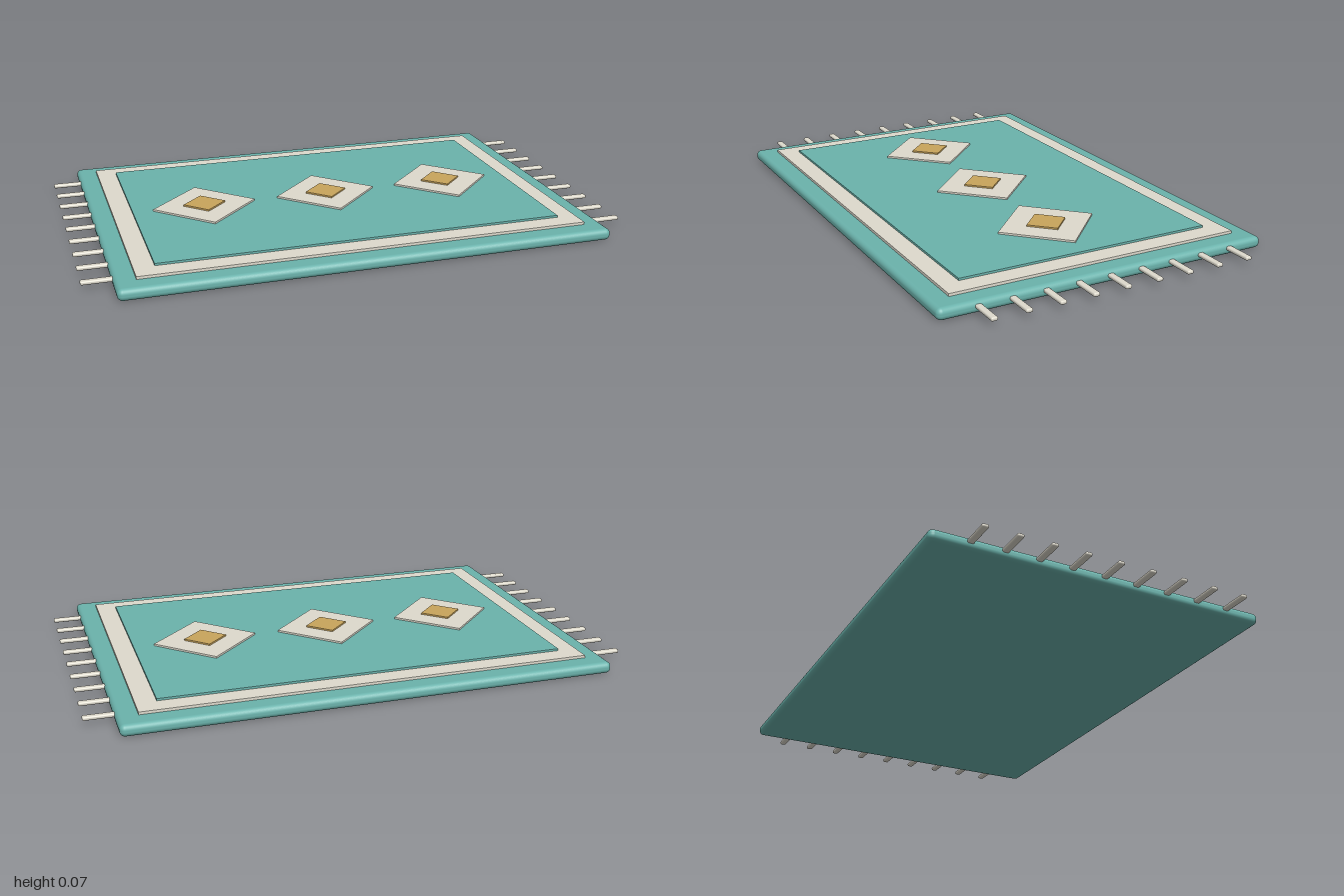
import * as THREE from 'three';
import { RoundedBoxGeometry } from 'three/addons/geometries/RoundedBoxGeometry.js';

const paint = (color) => new THREE.MeshStandardMaterial({ color });

export function createModel() {
  const rug = new THREE.Group();
  rug.name = 'rug';
  const teal = paint(0x6bb3ac);
  const cream = paint(0xdedacd);
  const gold = paint(0xc9a55c);

  const add = (name, geometry, material, x, y, z) => {
    const mesh = new THREE.Mesh(geometry, material);
    mesh.name = name;
    mesh.position.set(x, y, z);
    rug.add(mesh);
    return mesh;
  };
  // Flat layer given by its bottom and top heights
  const layer = (name, w, d, bottom, top, material, x = 0) =>
    add(name, new THREE.BoxGeometry(w, top - bottom, d), material, x, (bottom + top) / 2, 0);

  // Thick body with rounded edges
  add('rugBody', new RoundedBoxGeometry(1.79, 0.043, 1.262, 4, 0.019), teal, 0, 0.0215, 0);

  // Stacked border and centre field
  layer('border', 1.645, 1.115, 0.035, 0.053, cream);
  layer('centreField', 1.5, 0.972, 0.045, 0.061, teal);

  // Three diamonds, each with a smaller one on top
  for (const x of [-0.48, 0, 0.48]) {
    const side = 0.195 * Math.SQRT2;
    const innerSide = 0.08 * Math.SQRT2;
    layer('diamond', side, side, 0.055, 0.068, cream, x).rotation.y = Math.PI / 4;
    layer('diamondCentre', innerSide, innerSide, 0.062, 0.074, gold, x).rotation.y = Math.PI / 4;
  }

  // Fringe tassels along both short ends
  const tassel = new RoundedBoxGeometry(0.14, 0.014, 0.024, 3, 0.006);
  for (const s of [-1, 1]) {
    for (let i = -4; i <= 4; i++) {
      add(s > 0 ? 'leftTassel' : 'rightTassel', tassel, cream, s * 0.93, 0.026, i * 0.1225);
    }
  }
  return rug;
}
